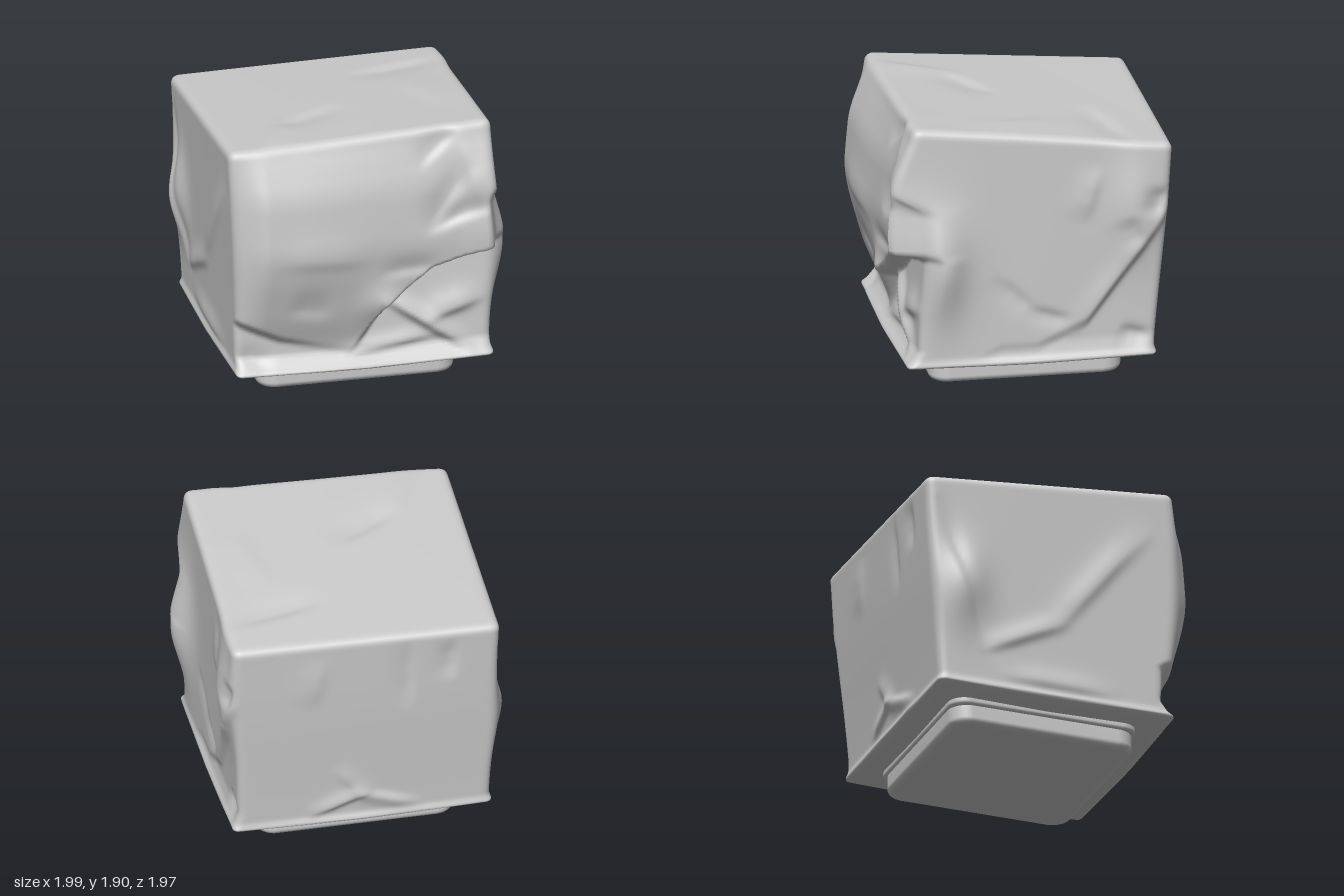
import * as THREE from 'three';
import { mergeVertices } from 'three/addons/utils/BufferGeometryUtils.js';

const { lerp, clamp, smoothstep } = THREE.MathUtils;
const ease = (a, b, t) => smoothstep(t, a, b);
const bump = (u, v, cu, cv, su, sv) => Math.exp(-(((u - cu) / su) ** 2) - ((v - cv) / sv) ** 2);

// Piecewise linear lookup in [[t, value], ...]
function table(points, t) {
  if (t <= points[0][0]) return points[0][1];
  for (let i = 1; i < points.length; i++) {
    const [t0, v0] = points[i - 1], [t1, v1] = points[i];
    if (t <= t1) return lerp(v0, v1, (t - t0) / (t1 - t0));
  }
  return points[points.length - 1][1];
}

// The same lookup with rounded corners
function softTable(points, t) {
  let sum = 0;
  for (let k = -4; k <= 4; k++) sum += table(points, t + k * 0.02);
  return sum / 9;
}

// Sum of folds: soft ridges along segments [u0, v0, u1, v1, height, width],
// fading towards both ends, sharp on one side and broad on the other
function folds(list, u, v) {
  let sum = 0;
  for (const [u0, v0, u1, v1, height, width] of list) {
    const du = u1 - u0, dv = v1 - v0, length = Math.hypot(du, dv);
    const along = ((u - u0) * du + (v - v0) * dv) / (length * length);
    const t = clamp(along, 0, 1);
    const d = Math.hypot(u - u0 - du * t, v - v0 - dv * t);
    const side = (u - u0) * dv - (v - v0) * du > 0 ? 1 : 2.2;
    const fade = ease(-0.15, 0.4, along) * ease(-0.15, 0.4, 1 - along);
    sum += height * fade * Math.exp(-((d / (width * side)) ** 2));
  }
  return sum;
}

// Front: depth of the swollen upper cloth, of the tucked lower cloth, and the line between
const upperDepth = [[0.3, 0.76], [0.4, 0.79], [0.55, 0.85], [0.9, 0.95], [1.1, 0.985], [1.3, 0.97], [1.5, 0.95], [1.72, 0.86], [1.85, 0.8]];
const lowerDepth = [[0.18, 0.84], [0.3, 0.76], [0.6, 0.75], [1.0, 0.72]];
const frontTuck = [[-0.95, 0.6], [-0.6, 0.42], [-0.1, 0.28], [0, 0.42], [0.12, 0.62], [0.45, 0.87], [0.85, 1.0]];
const frontFolds = [
  [0.1, 0.68, 0.72, 0.24, 0.06, 0.03], [0.08, 0.9, 0.5, 0.91, -0.02, 0.04],
  [0.4, 1.2, 0.7, 1.62, -0.03, 0.05], [0.34, 1.64, 0.62, 1.86, -0.02, 0.04],
  [0.4, 1.18, 0.86, 1.36, -0.03, 0.04], [0.62, 1.9, 0.76, 1.35, 0.02, 0.05],
  [-0.65, 1.08, 0, 1.02, 0.015, 0.07], [-0.15, 0.28, 0.5, 0.36, 0.03, 0.03],
  [0.4, 0.48, 0.8, 0.6, 0.04, 0.05], [-0.55, 0.69, -0.25, 0.63, -0.015, 0.06],
  [-0.9, 0.34, -0.66, 0.22, -0.02, 0.04],
];
// Sides are drawn in (z, y), back in (x, y), top in (x, z)
const rightTuck = [[-0.95, 1.25], [-0.4, 0.47], [-0.05, 0.3], [0.2, 0.3], [0.4, 0.2]];
const rightFolds = [
  [0.24, 0.8, -0.05, 0.54, -0.015, 0.04], [0, 0.56, -0.28, 0.47, -0.02, 0.035],
  [-0.46, 1.55, -0.36, 1.2, 0.02, 0.05], [-0.66, 1.2, -0.76, 1.0, -0.02, 0.05],
  [-0.62, 0.38, -0.82, 0.32, -0.025, 0.04], [-0.9, 1.4, -0.84, 1.2, -0.03, 0.04],
  [-0.95, 1.25, -0.3, 0.37, 0.02, 0.04],
];
const leftFolds = [
  [-0.88, 1.5, -0.52, 0.45, -0.025, 0.035], [-0.56, 0.46, 0.05, 0.75, 0.025, 0.04],
  [-0.05, 0.68, 0.6, 1.5, 0.025, 0.05], [-0.4, 0.3, 0.4, 0.28, 0.02, 0.04],
];
const backFolds = [
  [-0.06, 0.42, 0.35, 0.26, 0.025, 0.03], [0.06, 0.42, -0.4, 0.26, 0.025, 0.03],
  [-0.05, 0.34, 0.18, 0.62, 0.015, 0.035], [-0.3, 1.62, -0.32, 1.12, -0.015, 0.035],
  [-0.6, 1.6, -0.6, 1.3, -0.02, 0.04], [0.3, 1.55, 0.36, 1.2, 0.012, 0.06],
];
const topFolds = [
  [-0.5, 0.38, -0.05, 0.1, -0.02, 0.06], [0.2, -0.5, 0.85, -0.66, -0.02, 0.06],
  [-0.68, 0.78, -0.45, 0.25, 0.012, 0.06], [0.68, 0.35, 0.52, -0.35, 0.01, 0.09],
];

function frontZ(x, y) {
  const swell = (1 - 0.35 * ease(-0.5, 0.5, x) + 0.3 * ease(0.6, 0.85, x)) * (1 - 0.8 * ease(0.7, 0.97, -x));
  const swollen = 0.8 + (softTable(upperDepth, y) - 0.8) * swell + 0.05 * bump(x, y, 0.12, 0.66, 0.15, 0.14);
  // the flap stops short of the right corner
  const upper = lerp(swollen, 0.77, ease(0.81, 0.87, x) * (1 - ease(1.28, 1.45, y)));
  const edge = table(frontTuck, x);
  const z = lerp(table(lowerDepth, y), upper, ease(edge - 0.035, edge + 0.035, y));
  return z + folds(frontFolds, x, y);
}

function rightSwell(z, y) {
  const front = 0.125 * bump(z, y, 0.65, 0.95, z > 0.65 ? 0.14 : 0.22, 0.38);
  const back = 0.07 * bump(z, y, -0.72, 1.25, 0.18, 0.35);
  const edge = table(rightTuck, z);
  const tucked = (1 - ease(edge - 0.06, edge + 0.04, y)) * ease(0.2, 0.35, y);
  return front + back - 0.025 * tucked + folds(rightFolds, z, y);
}

// Box of cloth: a rounded grid cube whose faces are swollen, tucked and creased
function clothGeometry() {
  const grid = 84, radius = 0.065;
  const cube = new THREE.BoxGeometry(2, 2, 2, grid, grid, grid);
  cube.deleteAttribute('normal');
  cube.deleteAttribute('uv');
  const geometry = mergeVertices(cube);
  const position = geometry.attributes.position;
  const p = new THREE.Vector3(), core = new THREE.Vector3(), limit = 1 - radius;
  for (let i = 0; i < position.count; i++) {
    p.fromBufferAttribute(position, i);
    core.copy(p).clampScalar(-limit, limit);
    p.sub(core).setLength(radius).add(core);
    const h = (p.y + 1) / 2, sx = (p.x + 1) / 2, sz = (p.z + 1) / 2;

    // overall sloping block
    const bx = lerp(lerp(-0.89, -0.94, h) - 0.015 * sz * h, lerp(0.87, 0.91, h) - 0.04 * sz * h, sx);
    const bz = lerp(lerp(-0.855, -0.975, h), 0.8, sz);
    const top = lerp(lerp(1.68, 1.71, sx), lerp(1.83, 1.905, sx), sz);
    const by = lerp(0.165 + 0.02 * Math.abs(p.x * p.z), top, h);

    // swelling and creases on each face
    const left = 0.09 * bump(bz, by, -0.7, 0.92, 0.16, 0.28) + folds(leftFolds, bz, by);
    const back = 0.012 * bump(bx, by, 0, 1.1, 1.5, 0.5) + folds(backFolds, bx, by);
    const x = bx + rightSwell(bz, by) * ease(0.75, 0.98, p.x) - left * ease(0.8, 0.98, -p.x);
    const z = bz + (frontZ(bx, by) - 0.8) * ease(0.5, 0.98, p.z) - back * ease(0.85, 0.98, -p.z);
    const y = by + folds(topFolds, bx, bz) * ease(0.85, 0.98, p.y);

    // flared hem
    const hem = 1 + 0.035 * Math.exp(-(((by - 0.19) / 0.03) ** 2));
    position.setXYZ(i, x * hem, y, z * hem);
  }
  geometry.computeVertexNormals();
  return geometry;
}

// Flat slab with rounded corners in plan and a rounded rim, standing on y = 0
function slabGeometry(width, depth, height, corner, bevel) {
  const w = width / 2 - bevel, d = depth / 2 - bevel, q = Math.PI / 2;
  const shape = new THREE.Shape();
  [[1, 1], [-1, 1], [-1, -1], [1, -1]].forEach(([sx, sy], i) =>
    shape.absarc(sx * (w - corner), sy * (d - corner), corner, i * q, (i + 1) * q));
  const extruded = new THREE.ExtrudeGeometry(shape, {
    depth: height - 2 * bevel, bevelThickness: bevel, bevelSize: bevel, bevelSegments: 5, curveSegments: 8,
  });
  extruded.deleteAttribute('normal');
  extruded.deleteAttribute('uv');
  const geometry = mergeVertices(extruded, 1e-4);
  geometry.rotateX(-q).translate(0, bevel, 0);
  geometry.computeVertexNormals();
  return geometry;
}

export function createModel() {
  const group = new THREE.Group();
  const material = new THREE.MeshStandardMaterial({ color: 0xcccccc });
  const add = (name, geometry, x = 0, y = 0, z = 0) => {
    const mesh = new THREE.Mesh(geometry, material);
    mesh.name = name;
    mesh.position.set(x, y, z);
    group.add(mesh);
  };
  add('clothCover', clothGeometry());
  add('base', slabGeometry(1.37, 1.32, 0.24, 0.09, 0.045), -0.015, 0, -0.02);
  add('baseRim', slabGeometry(1.42, 1.35, 0.08, 0.1, 0.025), -0.01, 0.13, -0.02);
  return group;
}
